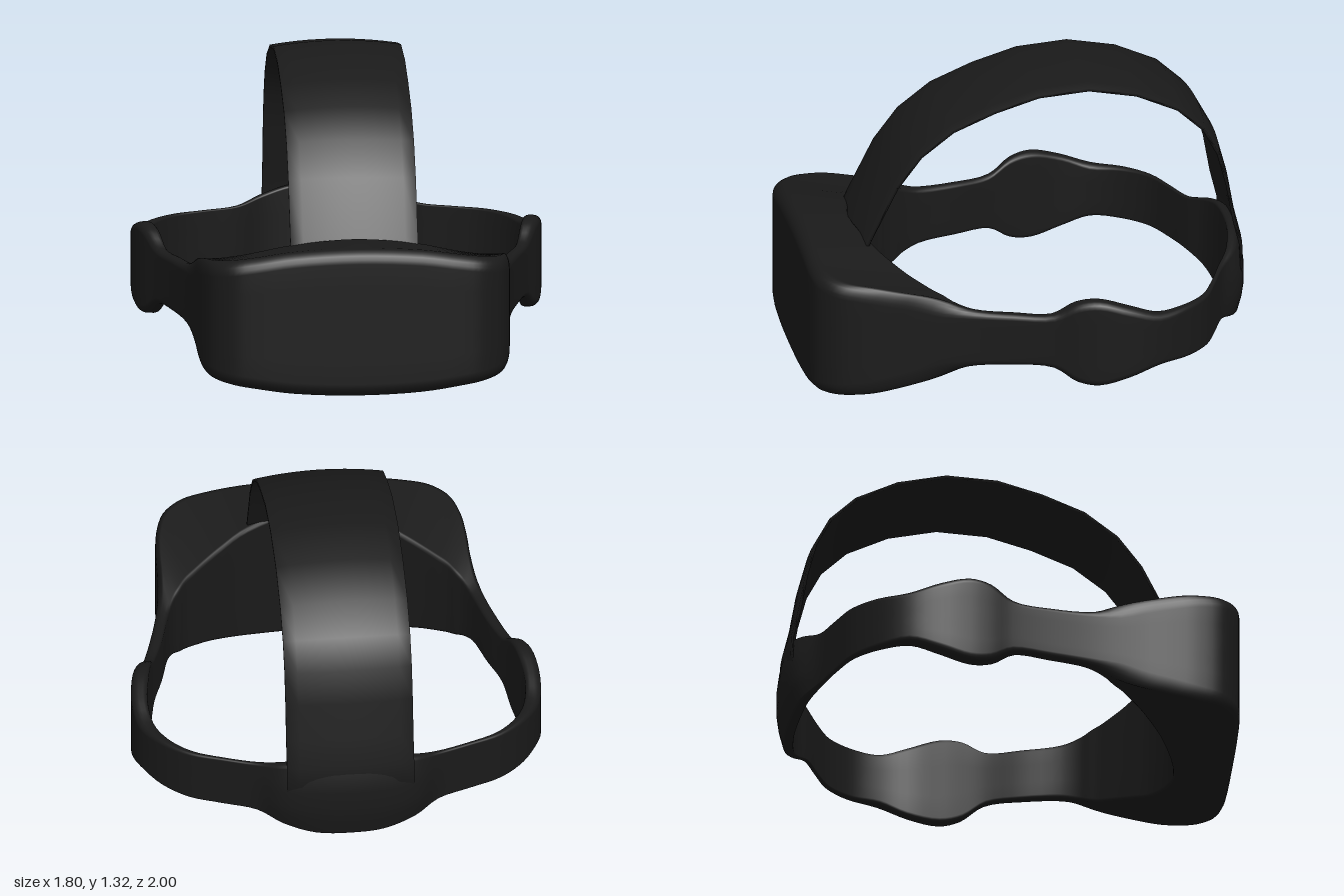
import * as THREE from 'three';

const MID = 0.33; // height of the symmetry plane of visor and strap

// Skin a grid of cross-section rings; optionally join the last ring to the first
function loft(rings, closed) {
  const m = rings[0].length, n = rings.length, index = [];
  for (let i = 0; i < (closed ? n : n - 1); i++) {
    for (let j = 0; j < m; j++) {
      const a = i * m + j, b = ((i + 1) % n) * m + j;
      const c = ((i + 1) % n) * m + (j + 1) % m, d = i * m + (j + 1) % m;
      index.push(a, b, c, a, c, d);
    }
  }
  const g = new THREE.BufferGeometry();
  g.setAttribute('position', new THREE.Float32BufferAttribute(rings.flat(2), 3));
  g.setIndex(index);
  g.computeVertexNormals();
  return g;
}

// Half outline, front centre to back centre:
// outer x, outer z, inner x, inner z, outer half height, inner half height
const stations = [
  [0, 1, 0, 0.74, 0.33, 0.33],
  [0.28, 1, 0.28, 0.67, 0.318, 0.29],
  [0.45, 0.995, 0.4, 0.6, 0.295, 0.25],
  [0.55, 0.975, 0.47, 0.55, 0.28, 0.225],
  [0.63, 0.91, 0.53, 0.5, 0.265, 0.205],
  [0.67, 0.8, 0.575, 0.46, 0.25, 0.19],
  [0.685, 0.68, 0.605, 0.42, 0.225, 0.175],
  [0.69, 0.55, 0.635, 0.38, 0.195, 0.155],
  [0.715, 0.36, 0.67, 0.3, 0.135, 0.13],
  [0.765, 0.15, 0.715, 0.13, 0.12, 0.12],
  [0.82, -0.03, 0.765, -0.02, 0.125, 0.125],
  [0.86, -0.13, 0.79, -0.12, 0.185, 0.185],
  [0.885, -0.22, 0.81, -0.22, 0.2, 0.2],
  [0.9, -0.35, 0.83, -0.36, 0.165, 0.165],
  [0.88, -0.49, 0.815, -0.48, 0.122, 0.122],
  [0.8, -0.63, 0.765, -0.605, 0.12, 0.12],
  [0.69, -0.73, 0.67, -0.71, 0.12, 0.12],
  [0.55, -0.79, 0.54, -0.773, 0.12, 0.12],
  [0.4, -0.85, 0.39, -0.83, 0.125, 0.125],
  [0.29, -0.92, 0.28, -0.885, 0.16, 0.16],
  [0.15, -0.955, 0.15, -0.915, 0.195, 0.195],
  [0, -0.965, 0, -0.925, 0.2, 0.2],
];

// Visor, side straps and rear pad as one continuous ring
function visorAndStrap() {
  const mirrored = stations.slice(1, -1).reverse().map(s => [-s[0], s[1], -s[2], s[3], s[4], s[5]]);
  const loop = [...stations, ...mirrored];
  const curve = (x, z, h) => new THREE.CatmullRomCurve3(
    loop.map(s => new THREE.Vector3(s[x], s[h], s[z])), true);
  const outer = curve(0, 1, 4), inner = curve(2, 3, 5);
  const count = loop.length * 4, rings = [];
  for (let i = 0; i < count; i++) {
    const o = outer.getPoint(i / count), n = inner.getPoint(i / count);
    const dx = n.x - o.x, dz = n.z - o.z, t = Math.hypot(dx, dz);
    const r = Math.min(0.06, t * 0.45), q = Math.min(0.02, t * 0.3);
    const bulge = 0.035 * THREE.MathUtils.smoothstep(-o.z, 0.82, 0.95);
    // upper half of the section: [distance inwards, height]
    const half = [];
    for (const f of [0.25, 0.6]) half.push([0, (o.y - r) * f]);
    for (let k = 0; k <= 5; k++) {
      const a = k / 5 * Math.PI / 2;
      half.push([r - r * Math.cos(a), o.y - r + r * Math.sin(a)]);
    }
    for (let k = 0; k <= 3; k++) {
      const a = k / 3 * Math.PI / 2;
      half.push([t - q + q * Math.sin(a), n.y - q + q * Math.cos(a)]);
    }
    half.push([t, (n.y - q) * 0.4]);
    // slope the top from the outer to the inner height
    const full = [...half, ...half.slice().reverse().map(([s, y]) => [s, -y])];
    rings.push(full.map(([s, y]) => {
      const out = s < t / 2 ? bulge * (1 - (y / o.y) ** 2) : 0;
      const f = (s - out) / t;
      return [o.x + dx * f, MID + y, o.z + dz * f];
    }));
  }
  return loft(rings, true);
}

// Wide, slightly bowed band over the head
function topBand() {
  const path = [
    [0.755, 0.58], [0.72, 0.66], [0.6, 0.9], [0.49, 1.045], [0.34, 1.16], [0.15, 1.24],
    [-0.05, 1.3], [-0.28, 1.317], [-0.5, 1.275], [-0.69, 1.19], [-0.81, 1.08], [-0.88, 0.95],
    [-0.92, 0.8], [-0.95, 0.63], [-0.982, 0.5], [-0.985, 0.4], [-0.96, 0.3],
  ].map(p => new THREE.Vector2(...p));
  const W = 0.28, bow = 0.022, thick = 0.013, steps = 10;
  const rings = path.map((p, i) => {
    const d = path[Math.min(i + 1, path.length - 1)].clone().sub(path[Math.max(i - 1, 0)]).normalize();
    const nz = d.y, ny = -d.x; // outward normal
    const ring = [];
    const add = (k, depth) => {
      const u = k / steps * 2 - 1, off = bow * u * u + depth;
      ring.push([u * W, p.y - ny * off, p.x - nz * off]);
    };
    for (let k = steps; k >= 0; k--) add(k, 0);
    for (let k = 0; k <= steps; k++) add(k, thick);
    return ring;
  });
  return loft(rings, false);
}

export function createModel() {
  const group = new THREE.Group();
  group.name = 'headset';
  const material = new THREE.MeshStandardMaterial({ color: 0x1a1a1a, side: THREE.DoubleSide });
  const parts = { visorAndStrap: visorAndStrap(), topBand: topBand() };
  for (const [name, geometry] of Object.entries(parts)) {
    const mesh = new THREE.Mesh(geometry, material);
    mesh.name = name;
    group.add(mesh);
  }
  return group;
}
